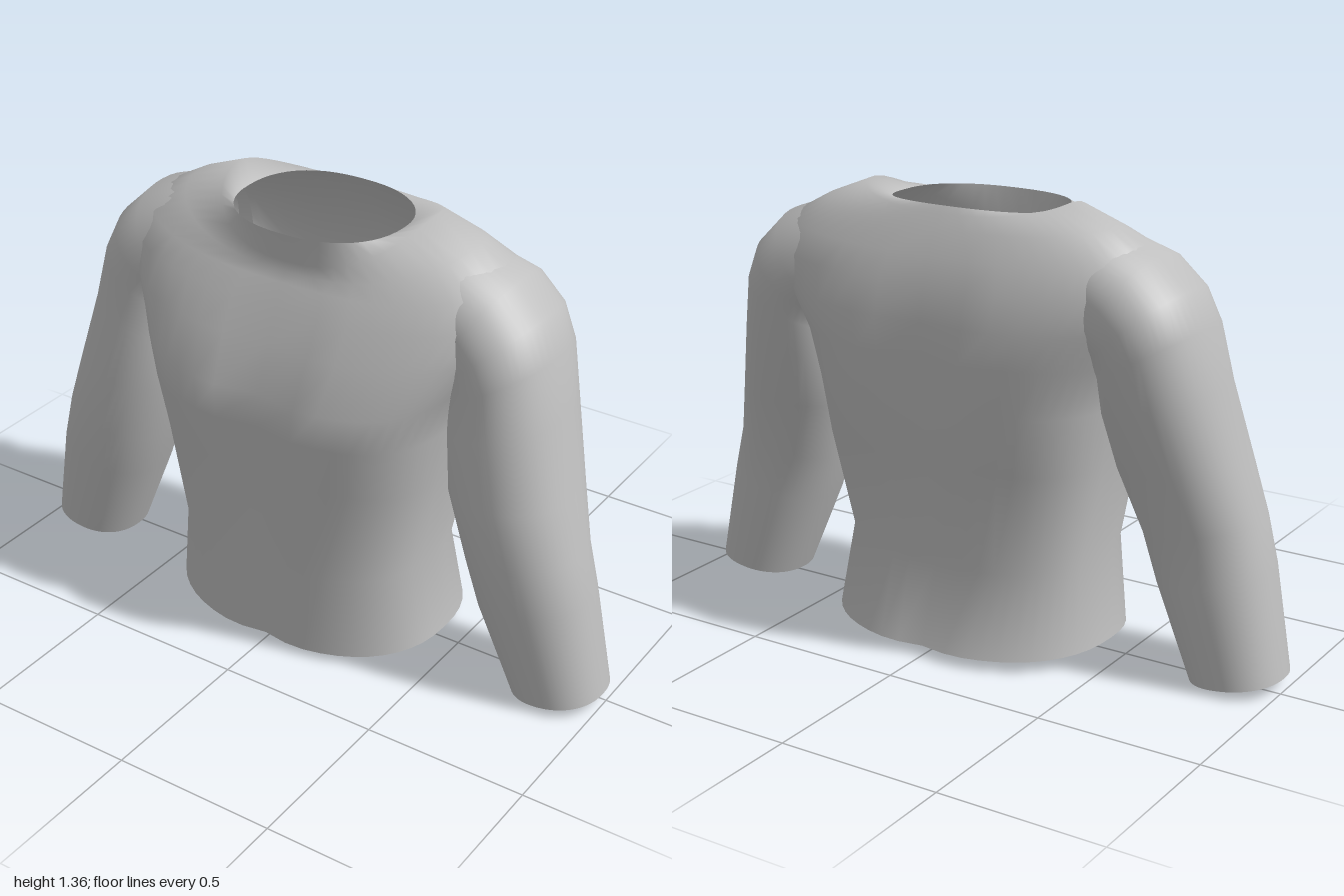
import * as THREE from 'three';

const SEG = 48;
const power = (v, p) => Math.sign(v) * Math.pow(Math.abs(v), p);

// Skin a stack of closed rings, listed from bottom to top, with open ends.
function skin(rings, pointAt) {
  const pos = [], idx = [];
  rings.forEach((ring, r) => {
    for (let i = 0; i < SEG; i++) {
      pos.push(...pointAt(ring, (i / SEG) * Math.PI * 2));
      if (r === rings.length - 1) continue;
      const a = r * SEG + i, b = r * SEG + ((i + 1) % SEG);
      idx.push(a, a + SEG, b, b, a + SEG, b + SEG);
    }
  });
  const g = new THREE.BufferGeometry();
  g.setAttribute('position', new THREE.Float32BufferAttribute(pos, 3));
  g.setIndex(idx);
  g.computeVertexNormals();
  return g;
}

// Torso rings: y front, y side, y back, half width, z front, z back, z side, roundness, centre groove
const torsoRings = [
  [0.02, 0.04, 0.03, 0.45, 0.325, -0.355, 0, 0.85, 0.02],
  [0.29, 0.30, 0.27, 0.41, 0.325, -0.27, 0, 0.75, 0.01],
  [0.60, 0.60, 0.60, 0.46, 0.335, -0.325, 0, 0.68, 0.02],
  [0.76, 0.78, 0.78, 0.48, 0.36, -0.345, 0, 0.64, 0.03],
  [0.86, 0.92, 0.92, 0.52, 0.352, -0.355, -0.01, 0.66, 0.03],
  [1.00, 1.05, 1.02, 0.60, 0.29, -0.352, -0.03, 0.7, 0.02],
  [1.10, 1.15, 1.12, 0.63, 0.24, -0.325, -0.05, 0.72, 0.01],
  [1.16, 1.235, 1.20, 0.60, 0.20, -0.29, -0.06, 0.74, 0],
  [1.19, 1.30, 1.27, 0.48, 0.185, -0.25, -0.07, 0.8, 0],
  [1.22, 1.355, 1.31, 0.34, 0.185, -0.225, -0.07, 0.85, 0],
  [1.31, 1.315, 1.33, 0.265, 0.20, -0.21, -0.02, 0.85, 0],
];

function torsoPoint([yF, yS, yB, rx, zF, zB, zS, p, groove], t) {
  const c = Math.cos(t), s = Math.sin(t), k = Math.abs(s);
  const x = rx * power(c, p);
  const dip = groove * Math.exp(-((x / 0.07) ** 2));
  const reach = (s > 0 ? zF : -zB) - (s > 0 ? zS : -zS) - dip;
  const y = yS + ((s > 0 ? yF : yB) - yS) * Math.pow(k, 1.5);
  return [x, y, zS + Math.sign(s) * reach * Math.pow(k, p)];
}

// Sleeve rings: outer x, outer y, inner x, inner y, z front, z back
const sleeveRings = [
  [1.00, 0.04, 0.72, 0.00, 0.165, -0.12],
  [0.94, 0.35, 0.605, 0.27, 0.195, -0.13],
  [0.905, 0.49, 0.555, 0.42, 0.20, -0.135],
  [0.86, 0.65, 0.485, 0.62, 0.20, -0.185],
  [0.80, 0.88, 0.46, 0.78, 0.175, -0.235],
  [0.76, 1.05, 0.46, 0.88, 0.165, -0.26],
  [0.71, 1.15, 0.45, 0.93, 0.165, -0.275],
  [0.62, 1.235, 0.43, 0.95, 0.155, -0.275],
  [0.48, 1.285, 0.39, 0.96, 0.13, -0.25],
];

function sleevePoint(side, [ox, oy, ix, iy, zF, zB], t) {
  const k = (1 + power(Math.cos(t * side), 0.9)) / 2;
  const z = (zF + zB) / 2 + ((zF - zB) / 2) * power(Math.sin(t * side), 0.9);
  return [side * (ix + (ox - ix) * k), iy + (oy - iy) * k, z];
}

export function createModel() {
  const group = new THREE.Group();
  group.name = 'shirt';
  const fabric = new THREE.MeshStandardMaterial({ color: 0xbebebe, side: THREE.DoubleSide });
  fabric.name = 'grey fabric';

  const add = (name, geometry) => {
    const mesh = new THREE.Mesh(geometry, fabric);
    mesh.name = name;
    group.add(mesh);
  };

  // Body with open hem and neckline
  add('torso', skin(torsoRings, torsoPoint));

  // Sleeves with open cuffs, blending into the shoulders
  for (const side of [1, -1]) {
    add(side > 0 ? 'leftSleeve' : 'rightSleeve', skin(sleeveRings, (r, t) => sleevePoint(side, r, t)));
  }
  return group;
}
